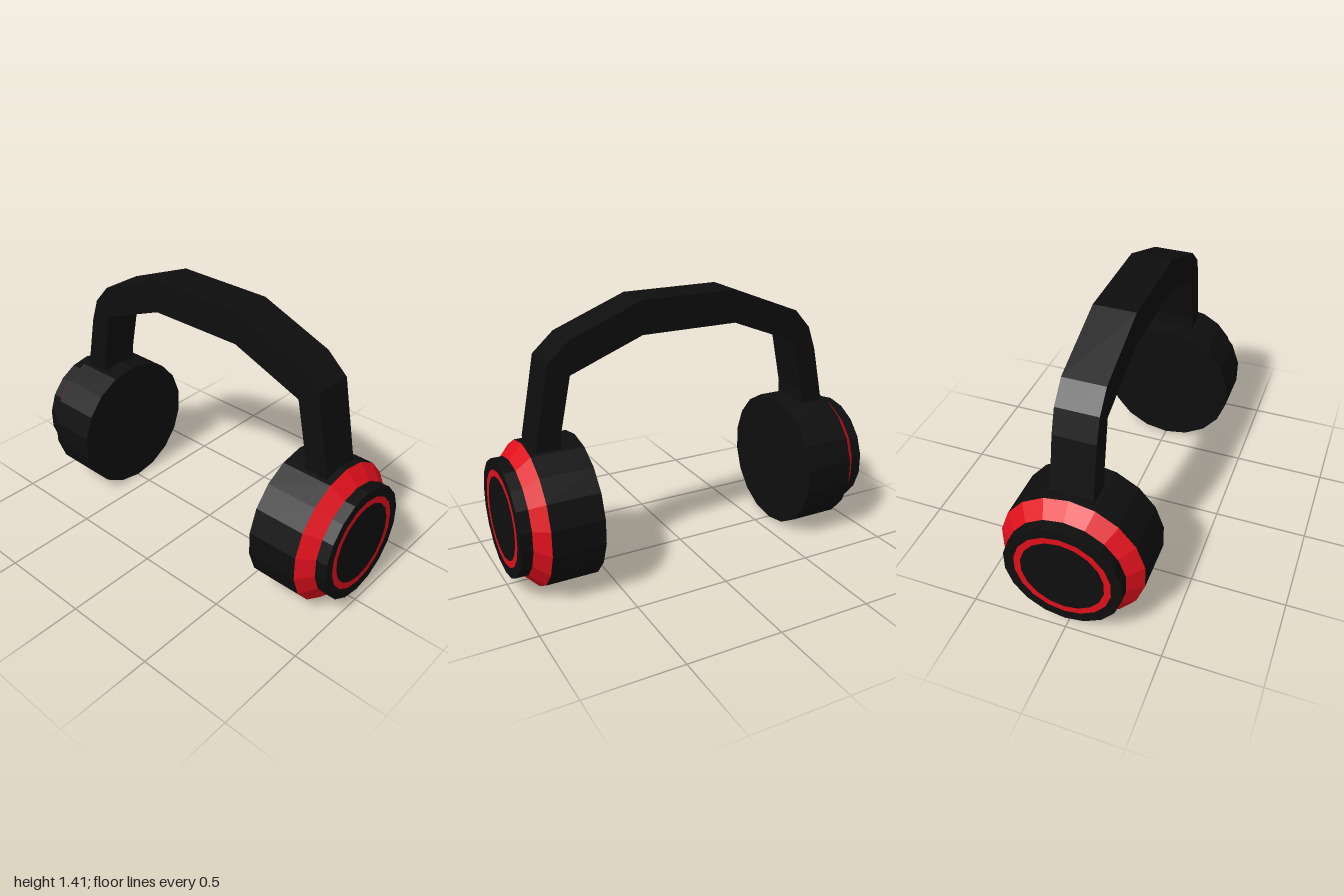
import * as THREE from 'three';

const black = new THREE.MeshStandardMaterial({ color: 0x0e0e0e, flatShading: true });
const red = new THREE.MeshStandardMaterial({ color: 0xe0101c, flatShading: true });

const CUP_Y = 0.375;
const SIDES = 18;

// Turned part around the z axis from [radius, z] points
function turned(name, points, material) {
  const geometry = new THREE.LatheGeometry(points.map(([r, z]) => new THREE.Vector2(r, z)), SIDES);
  geometry.rotateX(Math.PI / 2);
  const mesh = new THREE.Mesh(geometry, material);
  mesh.name = name;
  return mesh;
}

// One ear cup, its outer side facing +z
function earCup(name) {
  const cup = new THREE.Group();
  cup.name = name;
  cup.add(
    turned('housing', [[0, 0.597], [0.375, 0.597], [0.375, 0.87]], black),
    turned('bevelRing', [[0.375, 0.87], [0.304, 0.94]], red),
    turned('outerCap', [[0.304, 0.94], [0.304, 1], [0.25, 1]], black),
    turned('faceRing', [[0.25, 1], [0.215, 1]], red),
    turned('faceDisc', [[0.215, 1], [0, 1]], black),
  );
  cup.position.y = CUP_Y;
  return cup;
}

// Headband: side outline [z, y] extruded across its width
function headband() {
  const outline = [
    // outer edge, front to back
    [0.835, 0.7], [0.835, 0.75], [0.755, 1.162], [0.643, 1.263], [0.262, 1.413],
    [-0.262, 1.413], [-0.643, 1.263], [-0.733, 1.162], [-0.777, 1.037], [-0.838, 0.75], [-0.838, 0.7],
    // inner edge, back to front
    [-0.703, 0.7], [-0.703, 0.802], [-0.643, 1.092], [-0.262, 1.241],
    [0.262, 1.241], [0.646, 1.092], [0.706, 0.802], [0.706, 0.7],
  ];
  const width = 0.216;
  const shape = new THREE.Shape(outline.map(([z, y]) => new THREE.Vector2(z, y)));
  const geometry = new THREE.ExtrudeGeometry(shape, { depth: width, bevelEnabled: false });
  geometry.translate(0, 0, -width / 2);
  geometry.rotateY(-Math.PI / 2);
  const mesh = new THREE.Mesh(geometry, black);
  mesh.name = 'headband';
  return mesh;
}

export function createModel() {
  const model = new THREE.Group();
  model.name = 'headphones';
  const back = earCup('backEarCup');
  back.rotation.y = Math.PI;
  model.add(headband(), earCup('frontEarCup'), back);
  return model;
}
